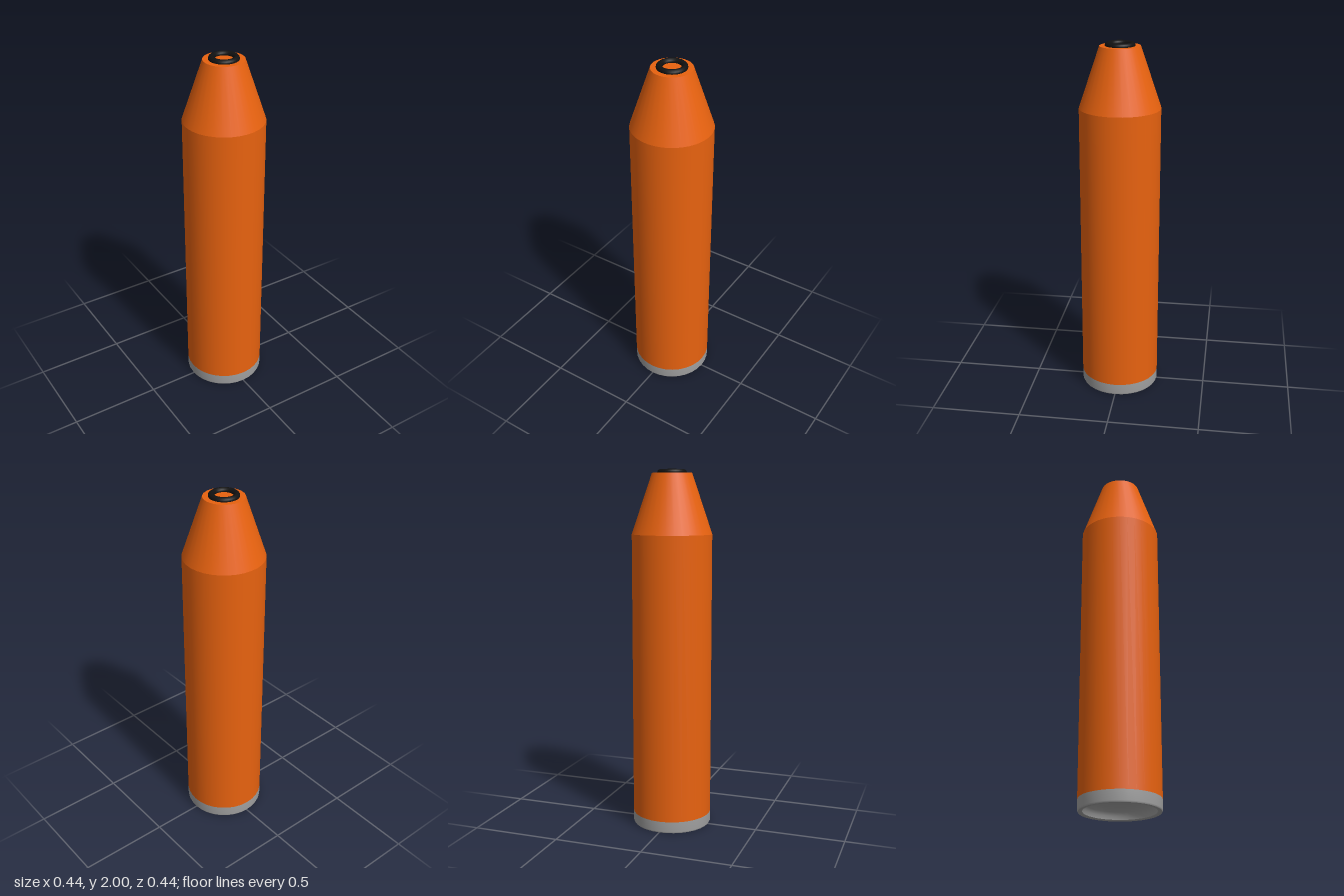
import * as THREE from 'three';

const SIDES = 32;

// Turns a list of [radius, height] points into a surface of revolution
function turned(name, profile, material) {
  const points = profile.map(([r, y]) => new THREE.Vector2(r, y));
  const mesh = new THREE.Mesh(new THREE.LatheGeometry(points, SIDES), material);
  mesh.name = name;
  return mesh;
}

export function createModel() {
  const orange = new THREE.MeshStandardMaterial({ color: 0xe8620f });
  const grey = new THREE.MeshStandardMaterial({ color: 0xa0a0a0 });
  const black = new THREE.MeshStandardMaterial({ color: 0x111111 });
  const model = new THREE.Group();
  model.name = 'taperedCartridge';

  // Straight casing, tapered nose and its flat end, each with its own sharp edge
  model.add(
    turned('casing', [[0.222, 0.065], [0.222, 1.65]], orange),
    turned('taperedNose', [[0.222, 1.65], [0.11, 1.98]], orange),
    turned('noseEnd', [[0.11, 1.98], [0, 1.98]], orange),
  );

  // Black ring lying on the nose end
  const ring = new THREE.Mesh(new THREE.TorusGeometry(0.0645, 0.0165, 12, SIDES), black);
  ring.name = 'tipRing';
  ring.rotation.x = Math.PI / 2;
  ring.position.y = 1.9835;
  model.add(ring);

  // Base band with a slightly bevelled rim
  model.add(
    turned('baseBand', [[0.218, 0], [0.222, 0.008], [0.222, 0.065]], grey),
    turned('baseRim', [[0.195, 0.004], [0.2, 0], [0.218, 0]], grey),
  );

  // Rounded hollow in the base
  const hollow = [];
  for (let i = 0; i <= 8; i++) {
    const a = (i / 8) * Math.PI / 2;
    hollow.push([0.195 * Math.sin(a), 0.004 + 0.1 * Math.cos(a)]);
  }
  model.add(turned('baseHollow', hollow, grey));

  return model;
}
